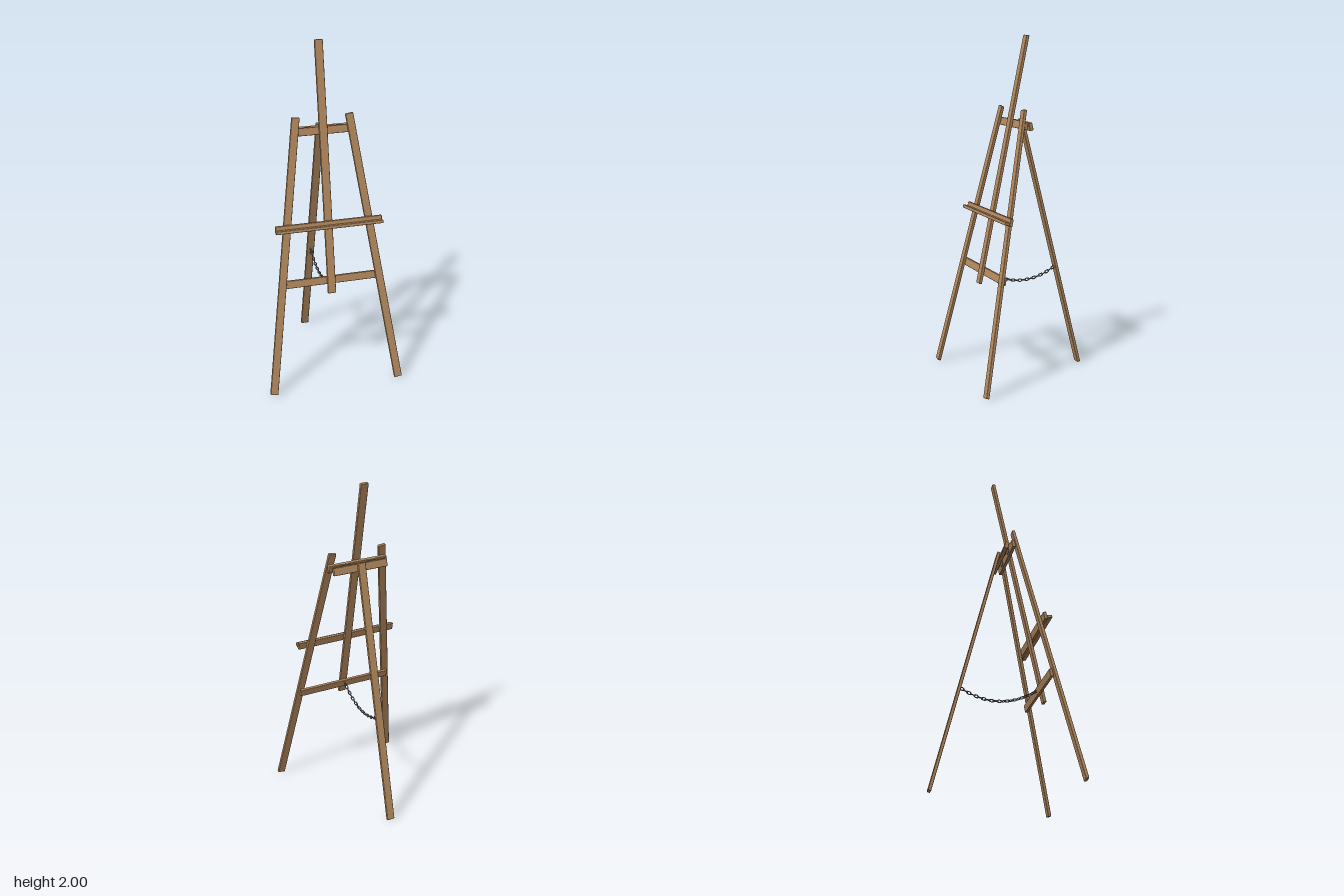
import * as THREE from 'three';
import { RoundedBoxGeometry } from 'three/addons/geometries/RoundedBoxGeometry.js';

const THICK = 0.019;
const WIDTH = 0.046;

export function createModel() {
  const wood = new THREE.MeshStandardMaterial({ color: 0xb48a5f });
  wood.name = 'wood';
  const metal = new THREE.MeshStandardMaterial({ color: 0x7c7c7e });
  metal.name = 'steel';

  const easel = new THREE.Group();
  easel.name = 'easel';

  // Softly rounded slat, centred at (x, y, z) in its frame
  function slat(parent, name, w, h, d, x, y, z) {
    const mesh = new THREE.Mesh(new RoundedBoxGeometry(w, h, d, 2, 0.004), wood);
    mesh.name = name;
    mesh.position.set(x, y, z);
    parent.add(mesh);
    return mesh;
  }

  // Plain metal fitting
  function fitting(parent, name, geometry, x, y, z) {
    const mesh = new THREE.Mesh(geometry, metal);
    mesh.name = name;
    mesh.position.set(x, y, z);
    parent.add(mesh);
    return mesh;
  }

  // Front frame: leans back, local z = 0 is the front face of the legs
  const front = new THREE.Group();
  front.name = 'frontFrame';
  front.position.z = 0.397;
  front.rotation.x = -Math.atan(0.213);
  easel.add(front);

  // Two splayed front legs
  const foot = new THREE.Vector2(0.382, 0.0075);
  const head = new THREE.Vector2(0.156, 1.622);
  const dir = head.clone().sub(foot);
  for (const side of [1, -1]) {
    const leg = slat(front, side > 0 ? 'frontLegLeft' : 'frontLegRight', WIDTH, dir.length(), THICK,
      side * (foot.x + head.x) / 2, (foot.y + head.y) / 2, -THICK / 2);
    leg.rotation.z = side * Math.atan2(-dir.x, dir.y);
  }

  // Central mast
  const mastLow = 0.581, mastTop = 2.045;
  slat(front, 'mast', 0.048, mastTop - mastLow, THICK, 0, (mastLow + mastTop) / 2, -THICK / 2);

  // Crossbars behind the legs
  slat(front, 'upperCrossbar', 0.37, WIDTH, 0.021, 0, 1.535, -THICK - 0.0105);
  slat(front, 'lowerCrossbar', 0.59, WIDTH, THICK, 0, 0.657, -THICK * 1.5);

  // Canvas tray: upright back strip and projecting ledge
  slat(front, 'trayBack', 0.632, WIDTH, THICK, 0, 0.994, THICK / 2);
  slat(front, 'trayLedge', 0.632, THICK, 0.03, 0, 0.985, THICK + 0.014);

  // Rear support: leans forward, with a hinge bar at the top
  const rear = new THREE.Group();
  rear.name = 'rearSupport';
  rear.position.z = -0.389;
  rear.rotation.x = Math.atan(0.254);
  easel.add(rear);
  slat(rear, 'rearLeg', 0.047, 1.566, THICK, 0, 0.002 + 0.783, 0);
  slat(rear, 'hingeBar', 0.34, WIDTH, 0.024, 0, 1.541, THICK / 2 + 0.012);

  // Two hinges joining the upper bars: a leaf on each inner face and a barrel on top
  const leafGeo = new THREE.BoxGeometry(0.045, 0.032, 0.003);
  const barrelGeo = new THREE.CylinderGeometry(0.004, 0.004, 0.045, 12).rotateZ(Math.PI / 2);
  for (const x of [-0.082, 0.082]) {
    fitting(front, 'hingeLeafFront', leafGeo, x, 1.541, -0.0415);
    fitting(rear, 'hingeLeafRear', leafGeo, x, 1.547, 0.035);
    fitting(easel, 'hingeBarrel', barrelGeo, x, 1.512, 0.031);
  }

  // Sagging safety chain of alternating links
  const chain = new THREE.Group();
  chain.name = 'chain';
  easel.add(chain);
  const curve = new THREE.QuadraticBezierCurve3(
    new THREE.Vector3(0, 0.64, 0.225),
    new THREE.Vector3(0, 0.483, 0),
    new THREE.Vector3(0, 0.62, -0.225));
  const linkGeo = new THREE.TorusGeometry(0.0075, 0.003, 8, 18);
  linkGeo.scale(1.7, 1, 1);
  linkGeo.computeVertexNormals();
  const xAxis = new THREE.Vector3(1, 0, 0);
  const count = 21;
  for (let i = 0; i < count; i++) {
    const u = (i + 0.5) / count;
    const p = curve.getPointAt(u);
    const link = fitting(chain, 'chainLink', linkGeo, p.x, p.y, p.z);
    link.quaternion.setFromUnitVectors(xAxis, curve.getTangentAt(u));
    link.rotateX(i % 2 ? Math.PI / 2 : 0);
  }

  return easel;
}
